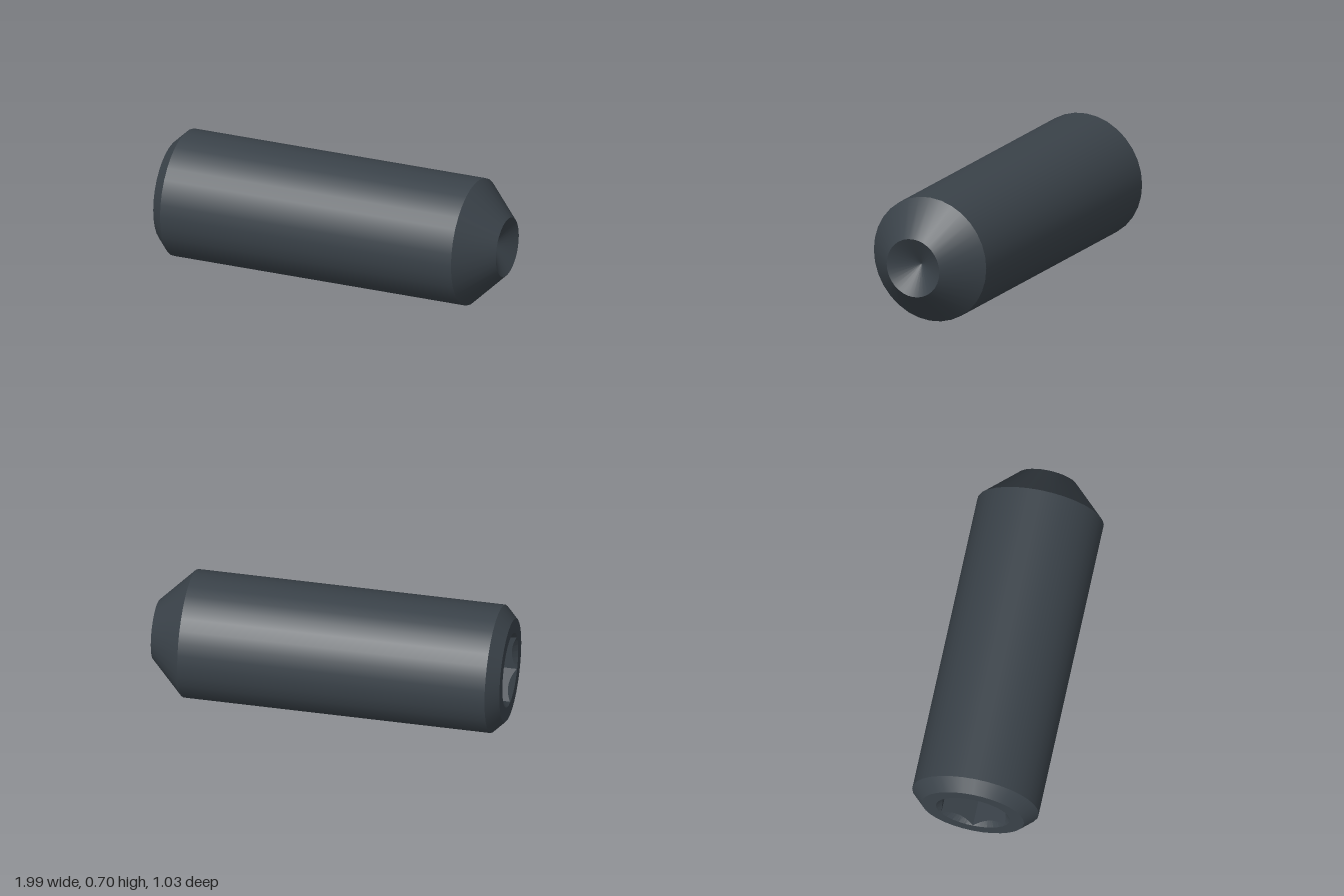
import * as THREE from 'three';

const SIDES = 32;
const BACK = -0.9715, FRONT = 0.9715; // ends along the screw's axis
const RIM = 0.203, HEX = 0.201, SOCKET_DEPTH = 0.42;

// Distance from the centre to the outline of a regular polygon at angle a
function polygonRadius(a, sides, corner, cornerAngle) {
  const step = (2 * Math.PI) / sides;
  const t = (((a - cornerAngle) % step) + step) % step;
  return (corner * Math.cos(step / 2)) / Math.cos(t - step / 2);
}

// Hexagonal hole with a conical lead-in that scallops its flats
function socketGeometry() {
  const count = 96;
  const ring = (i) => {
    const a = (i / count) * 2 * Math.PI;
    const rim = polygonRadius(a, SIDES, RIM, 0);
    const hex = polygonRadius(a, 6, HEX, Math.PI / 6);
    return [[0, SOCKET_DEPTH], [hex, SOCKET_DEPTH], [hex, RIM - hex], [rim, 0]].map(
      ([r, depth]) => [r * Math.sin(a), BACK + depth, r * Math.cos(a)]);
  };
  const positions = [];
  for (let i = 0; i < count; i++) {
    const p = ring(i), q = ring(i + 1);
    for (let k = 0; k < 3; k++) {
      if (k > 0) positions.push(...p[k], ...q[k], ...q[k + 1]);
      positions.push(...p[k], ...q[k + 1], ...p[k + 1]);
    }
  }
  const geometry = new THREE.BufferGeometry();
  geometry.setAttribute('position', new THREE.Float32BufferAttribute(positions, 3));
  geometry.computeVertexNormals();
  return geometry;
}

export function createModel() {
  const steel = new THREE.MeshStandardMaterial({ color: 0x3a4249 });
  steel.name = 'dark steel';

  const screw = new THREE.Group();
  screw.name = 'setScrew';
  const add = (name, geometry) => {
    const mesh = new THREE.Mesh(geometry, steel);
    mesh.name = name;
    screw.add(mesh);
  };

  // Turned bands, one lathe each so the edges between them stay sharp
  const bands = [
    ['backFace', RIM, BACK, 0.281, BACK],
    ['backChamfer', 0.281, BACK, 0.348, -0.9045],
    ['body', 0.348, -0.9045, 0.348, 0.7865],
    ['frontChamfer', 0.348, 0.7865, 0.163, FRONT],
    ['cupPoint', 0.163, FRONT, 0, FRONT - 0.094],
  ];
  for (const [name, r0, y0, r1, y1] of bands) {
    add(name, new THREE.LatheGeometry(
      [new THREE.Vector2(r0, y0), new THREE.Vector2(r1, y1)], SIDES));
  }
  add('hexSocket', socketGeometry());

  // Lay the screw down along x, then swing its front end towards +z
  screw.rotation.set(0, -THREE.MathUtils.degToRad(12), -Math.PI / 2, 'YXZ');
  screw.position.set(0.012, 0.348, 0.006);

  const model = new THREE.Group();
  model.name = 'model';
  model.add(screw);
  return model;
}
